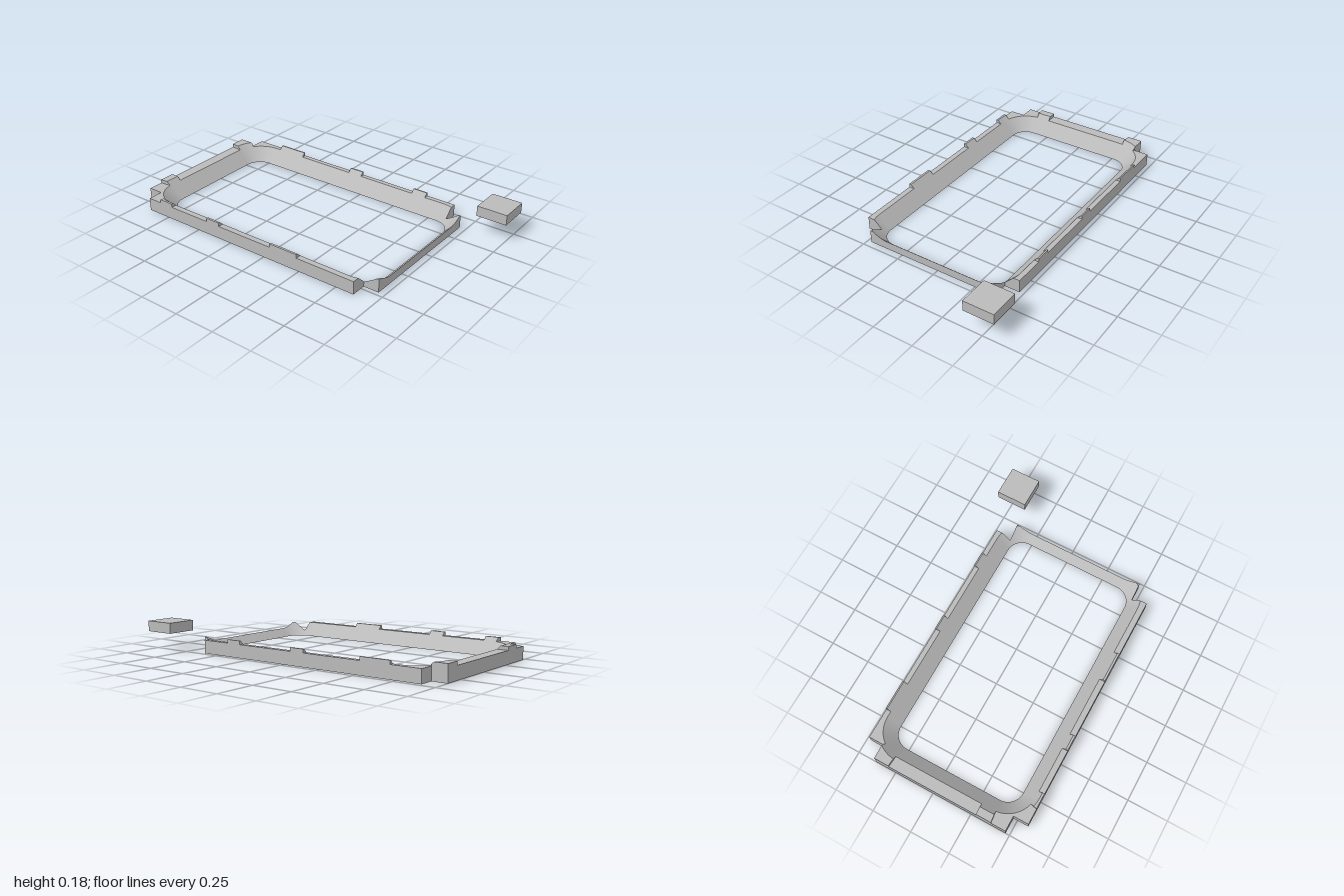
import * as THREE from 'three';
import { toCreasedNormals } from 'three/addons/utils/BufferGeometryUtils.js';

const LOW = 0.08, HIGH = 0.102;   // rim height, raised block height
const R = 0.1;                    // corner radius of the opening at the base
const X0 = -0.75, X1 = 0.56, Z0 = -0.265, Z1 = 0.355; // corner arc centres

// The footprint is two overlapping rectangles, leaving notched corners
const RECTS = [
  { x0: -1, x1: 0.71, z0: -0.38, z1: 0.475 },
  { x0: -0.905, x1: 0.615, z0: -0.475, z1: 0.57 },
];

// Raised blocks along three sides
const FRONT = [[-0.81, -0.715], [-0.43, -0.335], [0.045, 0.235]];
const BACK = [[-0.715, -0.525], [-0.145, -0.05], [0.33, 0.425]];
const LEFT = [[-0.38, -0.286], [0.286, 0.383]];

const within = (v, spans) => spans.some(([a, b]) => v > a && v < b);

function rimHeight(x, z) {
  if (z > 0.569) return within(x, FRONT) ? HIGH : LOW;
  if (z < -0.474) return within(x, BACK) ? HIGH : LOW;
  if (x < -0.999) return within(z, LEFT) ? HIGH : LOW;
  if (x < -0.906 && z < -0.379) return HIGH; // end of the back left block
  return LOW;
}

// A station is a ray from the arc centre line out to the footprint edge
function station(cx, cz, angle) {
  const dx = Math.cos(angle), dz = Math.sin(angle);
  const exit = (r) => Math.min(
    Math.abs(dx) < 1e-9 ? Infinity : ((dx > 0 ? r.x1 : r.x0) - cx) / dx,
    Math.abs(dz) < 1e-9 ? Infinity : ((dz > 0 ? r.z1 : r.z0) - cz) / dz);
  const reach = Math.max(...RECTS.map(exit));
  return { cx, cz, dx, dz, reach, ox: cx + dx * reach, oz: cz + dz * reach };
}

// Cross-section: inner base, top of the 45 degree slope, outer top, outer base
function section(s, h) {
  const top = Math.min(h, s.reach - R);
  const at = (d, y) => [s.cx + s.dx * d, y, s.cz + s.dz * d];
  return [at(R, 0), at(R + top, top), at(s.reach, top), at(s.reach, 0)];
}

// Rounded corner, with exact stations at footprint corners and block ends
function corner(cx, cz, start) {
  const angles = [];
  for (let i = 0; i <= 45; i++) angles.push(start + (i / 45) * Math.PI / 2);
  const marks = [[-0.81, 0.57], [-1, 0.383], [-1, -0.286]];
  const [a, b] = RECTS;
  for (const sx of ['x0', 'x1']) for (const sz of ['z0', 'z1']) {
    marks.push([a[sx], a[sz]], [b[sx], a[sz]], [b[sx], b[sz]]);
  }
  for (const [x, z] of marks) {
    const t = (Math.atan2(z - cz, x - cx) + Math.PI * 2) % (Math.PI * 2);
    const near = Math.hypot(x - cx, z - cz) < 0.4;
    if (near && t > start && t < start + Math.PI / 2) angles.push(t);
  }
  return angles.sort((p, q) => p - q).map((t) => station(cx, cz, t));
}

function frameGeometry() {
  const q = Math.PI / 2;
  const stops = (spans, lo, hi) => spans.flat().filter((v) => v > lo && v < hi).sort((a, b) => a - b);
  const loop = [
    ...corner(X1, Z1, 0),
    ...stops(FRONT, X0, X1).reverse().map((x) => station(x, Z1, q)),
    ...corner(X0, Z1, q),
    ...stops(LEFT, Z0, Z1).reverse().map((z) => station(X0, z, 2 * q)),
    ...corner(X0, Z0, 2 * q),
    ...stops(BACK, X0, X1).map((x) => station(x, Z0, 3 * q)),
    ...corner(X1, Z0, 3 * q),
  ];

  const pos = [];
  const v = [0, 1, 2].map(() => new THREE.Vector3());
  const tri = (...pts) => {
    pts.forEach((p, i) => v[i].fromArray(p));
    const area = v[1].clone().sub(v[0]).cross(v[2].clone().sub(v[0])).length();
    if (area > 1e-9) pts.forEach((p) => pos.push(...p));
  };

  const n = loop.length;
  const heights = loop.map((s, i) => {
    const e = loop[(i + 1) % n];
    return rimHeight((s.ox + e.ox) / 2, (s.oz + e.oz) / 2);
  });
  for (let i = 0; i < n; i++) {
    const a = section(loop[i], heights[i]);
    const b = section(loop[(i + 1) % n], heights[i]);
    for (let k = 0; k < 4; k++) {
      const m = (k + 1) % 4;
      tri(a[k], b[k], a[m]);
      tri(b[k], b[m], a[m]);
    }
    // End wall where the rim steps up or down
    const before = section(loop[i], heights[(i + n - 1) % n]);
    tri(before[1], a[2], before[2]);
    tri(before[1], a[1], a[2]);
  }
  const g = new THREE.BufferGeometry();
  g.setAttribute('position', new THREE.Float32BufferAttribute(pos, 3));
  return toCreasedNormals(g, 0.4);
}

export function createModel() {
  const group = new THREE.Group();
  const grey = new THREE.MeshStandardMaterial({ color: 0xbababa });
  grey.name = 'grey';

  const frame = new THREE.Mesh(frameGeometry(), grey);
  frame.name = 'notchedFrame';
  group.add(frame);

  // Separate block floating beside the back right corner
  const block = new THREE.Mesh(new THREE.BoxGeometry(0.19, 0.064, 0.19), grey);
  block.name = 'looseBlock';
  block.position.set(0.905, 0.144, -0.477);
  group.add(block);
  return group;
}
